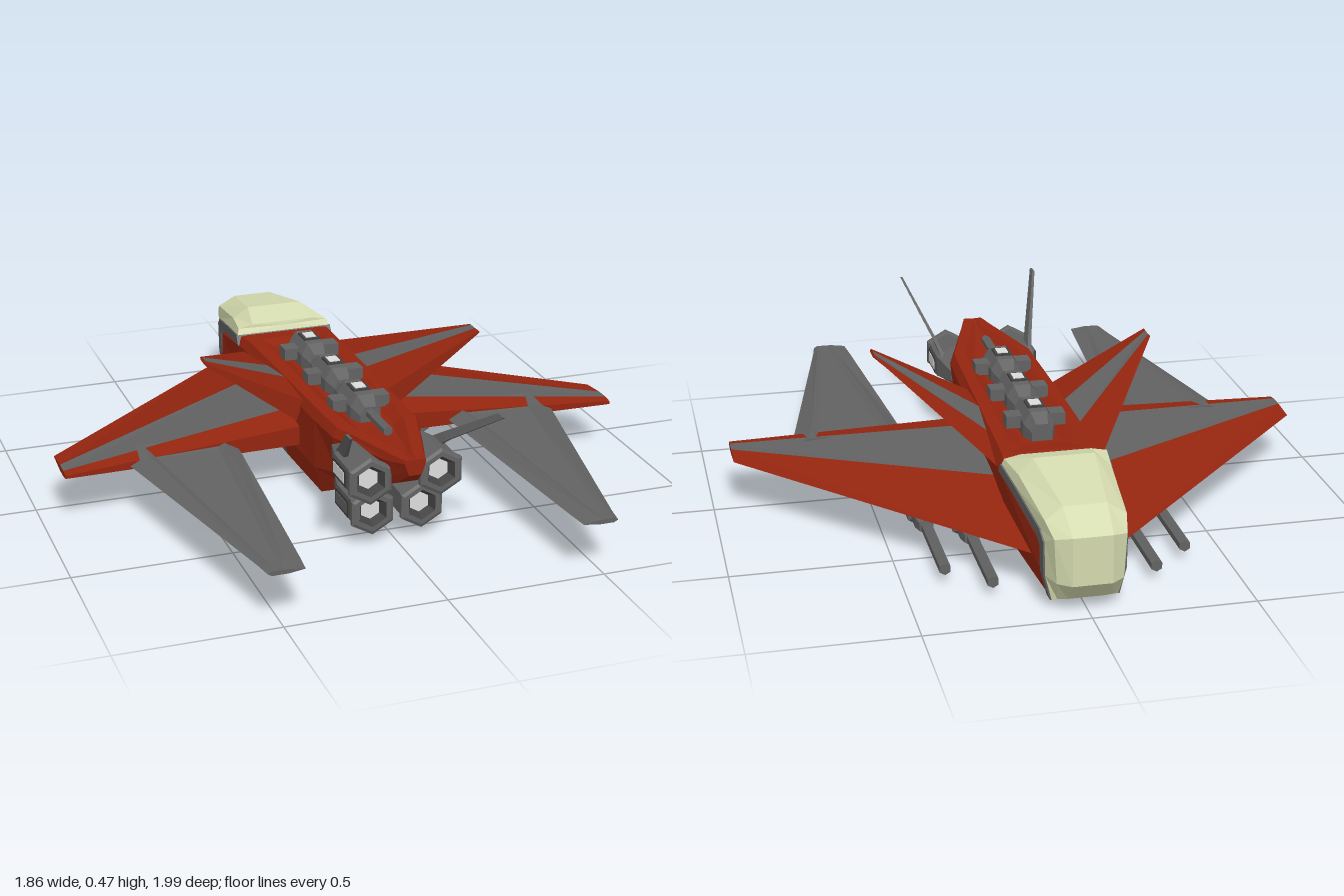
import * as THREE from 'three';

const mat = (name, color) => Object.assign(new THREE.MeshStandardMaterial({ color }), { name });
const RED = mat('hull red', 0x94250f);
const GREY = mat('panel grey', 0x626262);
const DARK = mat('dark metal', 0x424242);
const CREAM = mat('canopy cream', 0xd4daae);
const LIGHT = mat('lamp white', 0xdcdcdc);

// Closed solid through rings of [x, y, z]; pick(section, band) chooses the colour of each band.
function loft(name, rings, pick, side = 1) {
  const tris = [];
  const n = rings[0].length;
  const R = rings.map(r => r.map(p => new THREE.Vector3(p[0] * side, p[1], p[2])));
  for (let i = 0; i < R.length - 1; i++) {
    for (let j = 0; j < n; j++) {
      const k = (j + 1) % n, m = pick(i, j);
      tris.push([R[i][j], R[i][k], R[i + 1][k], m], [R[i][j], R[i + 1][k], R[i + 1][j], m]);
    }
  }
  [[R[0], true, 0], [R[R.length - 1], false, R.length - 2]].forEach(([ring, first, s]) => {
    const c = ring.reduce((a, p) => a.add(p), new THREE.Vector3()).divideScalar(n);
    for (let j = 0; j < n; j++) {
      const a = ring[j], b = ring[(j + 1) % n];
      tris.push(first ? [c, b, a, pick(s, -1)] : [c, a, b, pick(s, -1)]);
    }
  });
  // Turn the faces outward by the sign of the enclosed volume
  const cross = new THREE.Vector3();
  const volume = tris.reduce((v, [a, b, c]) => v + a.dot(cross.crossVectors(b, c)), 0);
  const group = new THREE.Group();
  group.name = name;
  for (const m of new Set(tris.map(t => t[3]))) {
    const pts = tris.filter(t => t[3] === m).flatMap(([a, b, c]) => (volume > 0 ? [a, b, c] : [a, c, b]));
    const g = new THREE.BufferGeometry().setFromPoints(pts);
    g.computeVertexNormals();
    const mesh = new THREE.Mesh(g, m);
    mesh.name = `${name} ${m.name}`;
    group.add(mesh);
  }
  return group;
}

function part(name, geometry, material, x = 0, y = 0, z = 0) {
  const g = geometry.index ? geometry.toNonIndexed() : geometry;
  g.computeVertexNormals();
  const mesh = new THREE.Mesh(g, material);
  mesh.name = name;
  mesh.position.set(x, y, z);
  return mesh;
}
const box = (name, w, h, d, m, x, y, z) => part(name, new THREE.BoxGeometry(w, h, d), m, x, y, z);

// Six-sided turned shape along z from [radius, z] points
const hexLathe = pts =>
  new THREE.LatheGeometry(pts.map(([r, z]) => new THREE.Vector2(r, z)), 6).rotateX(Math.PI / 2);

// Half profile (x, y) at one z, mirrored into a full ring
const mirrorRing = half => [...half, ...half.slice().reverse().map(([x, y, z]) => [-x, y, z])];

function hull() {
  // z, then bottom, side, shoulder, outer rim, inner rim, trough
  const sections = [
    [-0.88, [0.10, 0.03], [0.125, 0.11], [0.122, 0.19], [0.10, 0.215], [0.08, 0.215], [0.05, 0.215]],
    [-0.52, [0.125, 0.03], [0.155, 0.13], [0.168, 0.275], [0.155, 0.305], [0.13, 0.307], [0.09, 0.307]],
    [-0.46, [0.127, 0.03], [0.157, 0.13], [0.165, 0.28], [0.15, 0.31], [0.12, 0.313], [0.11, 0.311]],
    [-0.38, [0.128, 0.031], [0.157, 0.13], [0.163, 0.28], [0.147, 0.314], [0.108, 0.318], [0.065, 0.3]],
    [-0.24, [0.13, 0.033], [0.158, 0.13], [0.16, 0.285], [0.145, 0.316], [0.106, 0.321], [0.065, 0.3]],
    [-0.09, [0.13, 0.035], [0.158, 0.13], [0.156, 0.285], [0.142, 0.32], [0.104, 0.324], [0.065, 0.302]],
    [0.24, [0.125, 0.04], [0.15, 0.13], [0.15, 0.29], [0.135, 0.323], [0.1, 0.328], [0.062, 0.305]],
    [0.40, [0.09, 0.12], [0.125, 0.17], [0.145, 0.295], [0.13, 0.326], [0.09, 0.331], [0.055, 0.306]],
    [0.66, [0.035, 0.235], [0.045, 0.26], [0.058, 0.31], [0.052, 0.332], [0.015, 0.334], [0.004, 0.325]],
    [0.73, [0.02, 0.285], [0.026, 0.3], [0.034, 0.325], [0.031, 0.335], [0.012, 0.335], [0.004, 0.334]],
  ];
  const rings = sections.map(([z, ...half]) => mirrorRing(half.map(([x, y]) => [x, y, z])));
  return loft('hull', rings, (i, j) => (i === 4 && (j === 0 || j === 10) ? GREY : RED));
}

function canopy() {
  // base, shoulder, top, along the L-shaped seam
  const halves = [
    [[0.166, 0.308, -0.53], [0.16, 0.328, -0.54], [0.11, 0.338, -0.54]],
    [[0.15, 0.286, -0.66], [0.143, 0.325, -0.66], [0.095, 0.366, -0.64]],
    [[0.126, 0.245, -0.88], [0.122, 0.285, -0.91], [0.066, 0.32, -0.9]],
    [[0.122, 0.22, -0.91], [0.108, 0.25, -0.97], [0.06, 0.262, -1]],
    [[0.12, 0.11, -0.91], [0.1, 0.11, -0.97], [0.06, 0.11, -1]],
    [[0.1, 0.03, -0.91], [0.085, 0.035, -0.92], [0.055, 0.038, -0.93]],
  ];
  const glass = loft('canopy', halves.map(mirrorRing), () => CREAM);
  // Grey seam band just behind and below the canopy
  const shift = [[-0.03, 0.02], [-0.03, 0.01], [-0.03, 0.025], [-0.03, 0.04], [0, 0.04], [0, 0.04]];
  const band = halves.map(([[x, y, z]], i) =>
    mirrorRing([[x + 0.005, y, z], [x + 0.006, y + shift[i][0], z + shift[i][1]]]));
  return [glass, loft('canopySeam', band, () => GREY)];
}

// Blades run from root to tip; bands 1 and 5 are the painted stripe
const stripe = (i, j) => (j === 1 || j === 5 ? GREY : RED);

function mainWing(s) {
  const root = [[0.13, -0.8], [0.21, -0.4], [0.235, -0.02], [0.215, 0.1], [0.15, 0.1], [0.125, -0.02], [0.115, -0.4]];
  const tip = [[0.172, -0.02], [0.18, 0.07], [0.18, 0.12], [0.175, 0.15], [0.165, 0.15], [0.16, 0.12], [0.16, 0.07]];
  return loft('mainWing', [root.map(p => [0.13, ...p]), tip.map(p => [0.93, ...p])], stripe, s);
}

function upperFin(s) {
  const root = [[0.155, 0.265, -0.48], [0.14, 0.295, -0.25], [0.135, 0.315, -0.08], [0.14, 0.305, 0.11],
    [0.165, 0.24, 0.11], [0.165, 0.235, -0.08], [0.16, 0.245, -0.25]];
  const tip = [[0.46, 0.47, 0.04], [0.457, 0.473, 0.055], [0.457, 0.473, 0.09], [0.459, 0.472, 0.115],
    [0.463, 0.466, 0.115], [0.463, 0.465, 0.09], [0.463, 0.466, 0.055]];
  return loft('upperFin', [root, tip], stripe, s);
}

function rearWing(s) {
  // z, outer edges, groove edges, thickness
  const ring = (z, a, b, ga, gb, t, d, g) => {
    const y = 0.172, top = y + t, low = y - t;
    return [[a, y, z], [ga, top, z], [ga + g, top - d, z], [gb - g, top - d, z], [gb, top, z], [b, y, z],
      [gb, low, z], [gb - g, low + d, z], [ga + g, low + d, z], [ga, low, z]];
  };
  return loft('rearWing', [
    ring(0.05, 0.36, 0.74, 0.40, 0.68, 0.03, 0, 0.02),
    ring(0.14, 0.362, 0.72, 0.41, 0.66, 0.028, 0.012, 0.025),
    ring(0.93, 0.424, 0.552, 0.478, 0.536, 0.011, 0.006, 0.015),
    ring(0.99, 0.43, 0.542, 0.48, 0.53, 0.007, 0, 0.015),
  ], () => GREY, s);
}

function engine(s, x, y, z, lit) {
  const g = new THREE.Group();
  g.name = 'engine';
  g.add(
    part('engineShell', hexLathe([[0, -0.28], [0.035, -0.27], [0.07, -0.16], [0.07, -0.03], [0.077, -0.02],
      [0.077, -0.005], [0.066, 0], [0.05, 0]]), GREY),
    part('nozzleLining', hexLathe([[0.05, 0], [0.035, -0.03], [0, -0.03]]), DARK),
    part('engineGlow', new THREE.CircleGeometry(0.034, 6).rotateZ(Math.PI / 6), LIGHT, 0, 0, -0.027),
    box('ventFrame', 0.012, 0.055, 0.12, DARK, s * 0.061, 0, -0.1),
    box('ventPanel', 0.006, 0.035, 0.095, lit ? LIGHT : GREY, s * 0.066, 0, -0.1));
  g.position.set(s * x, y, z);
  return g;
}

function antenna(s) {
  const ring = (x, y, z, w, t) => [[x - t, y, z - w], [x + t, y, z - w], [x + t, y, z + w], [x - t, y, z + w]];
  return loft('antenna', [ring(0.15, 0.28, 0.5, 0.035, 0.008), ring(0.165, 0.32, 0.56, 0.03, 0.006),
    ring(0.238, 0.475, 0.81, 0.02, 0.004)], () => GREY, s);
}

function gun(s, x, z) {
  const g = new THREE.Group();
  g.name = 'wingGun';
  g.add(
    part('gunBody', hexLathe([[0, -0.12], [0.026, -0.12], [0.034, -0.08], [0.034, -0.02], [0.046, -0.01],
      [0.046, 0.07], [0.03, 0.11], [0, 0.11]]), GREY),
    part('gunBarrel', hexLathe([[0, -0.43], [0.019, -0.43], [0.019, -0.1], [0, -0.1]]), GREY),
    box('gunPylon', 0.04, 0.1, 0.05, GREY, 0, 0.065, 0.01));
  g.position.set(s * x, 0.05, z);
  return g;
}

// Spine pod row: chamfered housings with lamps, lugs and a rear barrel
function spine() {
  const g = new THREE.Group();
  g.name = 'spinePods';
  const ring = (z, w, h) => mirrorRing([[w, 0.29, z], [w, 0.29 + h * 0.6, z], [w * 0.55, 0.29 + h, z]]);
  g.add(loft('spineRail', [ring(-0.3, 0.032, 0.06), ring(0.3, 0.032, 0.06)], () => GREY));
  for (const z of [-0.25, -0.01, 0.235]) {
    g.add(
      loft('podHousing', [ring(z - 0.11, 0.033, 0.065), ring(z - 0.065, 0.05, 0.09), ring(z + 0.065, 0.05, 0.09),
        ring(z + 0.11, 0.033, 0.065)], () => GREY),
      box('lampFrame', 0.055, 0.016, 0.065, DARK, 0, 0.378, z),
      box('lamp', 0.036, 0.006, 0.045, LIGHT, 0, 0.386, z));
    for (const s of [-1, 1]) g.add(box('podLug', 0.05, 0.04, 0.055, GREY, s * 0.07, 0.335, z));
  }
  g.add(part('spineBarrel', hexLathe([[0, 0.3], [0.016, 0.3], [0.016, 0.5], [0, 0.5]]), GREY, 0, 0.335, 0));
  return g;
}

export function createModel() {
  const model = new THREE.Group();
  model.name = 'starfighter';
  model.add(hull(), ...canopy(), spine());
  for (const s of [1, -1]) {
    model.add(mainWing(s), upperFin(s), rearWing(s), antenna(s),
      engine(s, 0.113, 0.25, 0.66, true), engine(s, 0.08, 0.115, 0.59, false),
      gun(s, 0.25, -0.37), gun(s, 0.372, -0.255));
  }
  return model;
}
